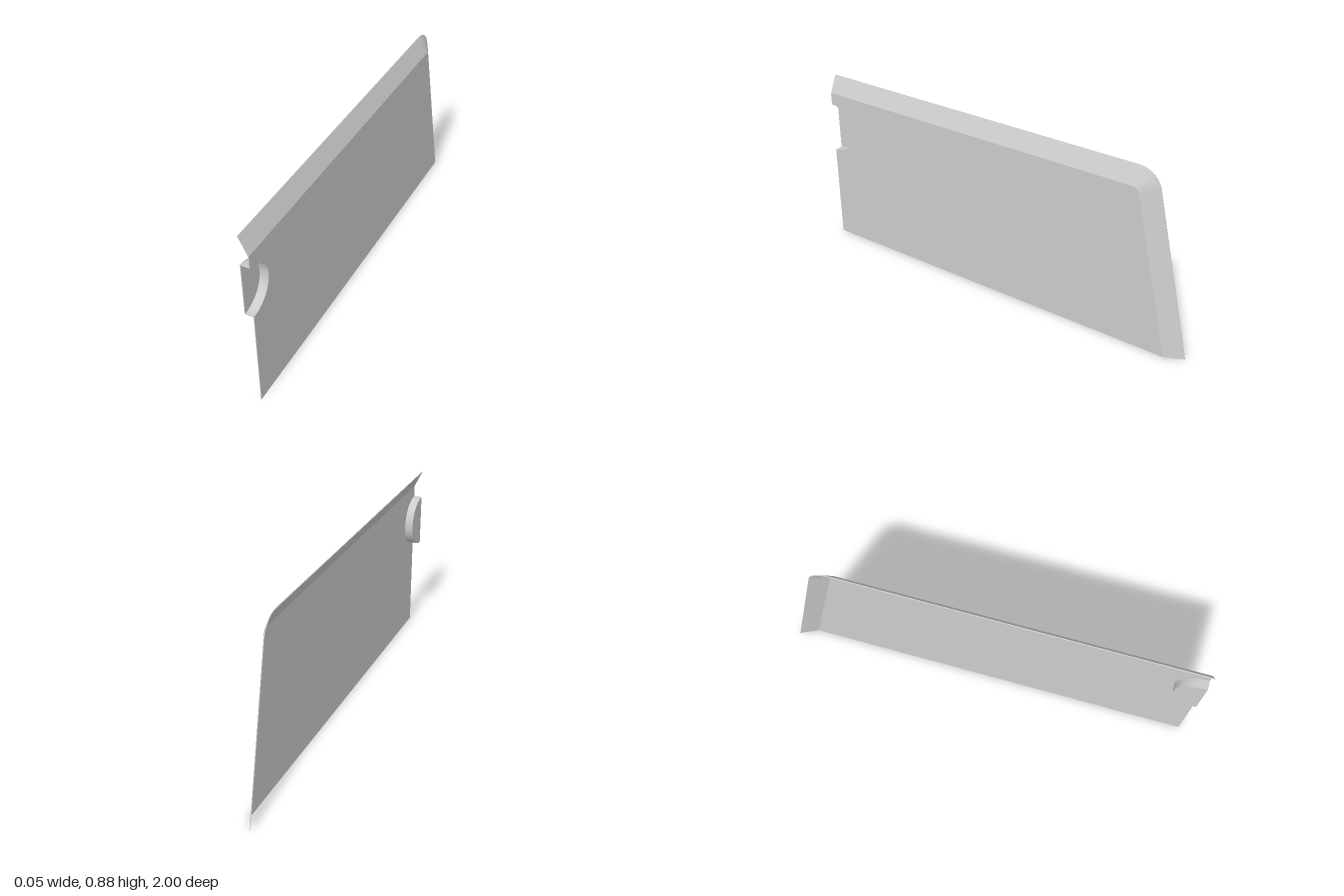
import * as THREE from 'three';
import { toCreasedNormals } from 'three/addons/utils/BufferGeometryUtils.js';

const material = new THREE.MeshStandardMaterial({ color: 0xcccccc });

// Side profile is drawn with u = -z and v = y
const FRONT = -1, CORNER_U = 0.701, CORNER_V = 0.77, SLOPE = 0.235;
const X_OUT = 0.022, X_IN = 0.018, X_BACK = -0.023;
const GRIP_V = 0.612, GRIP_R = 0.13, WALL = 0.004;

// Rear edge, rounded corner and top edge at distance r from the corner centre
function rim(r) {
  const points = [[CORNER_U + r * Math.hypot(1, SLOPE) + SLOPE * CORNER_V, 0]];
  const start = Math.atan(SLOPE), steps = 10;
  for (let i = 0; i <= steps; i++) {
    const a = start + (Math.PI / 2 - start) * i / steps;
    points.push([CORNER_U + r * Math.cos(a), CORNER_V + r * Math.sin(a)]);
  }
  points.push([FRONT, CORNER_V + r]);
  return points;
}

// Extrude a side profile between two x positions
function plate(name, shape, x0, x1) {
  const geometry = new THREE.ExtrudeGeometry(shape, { depth: x1 - x0, bevelEnabled: false, curveSegments: 16 });
  geometry.rotateY(Math.PI / 2).translate(x0, 0, 0);
  const mesh = new THREE.Mesh(geometry, material);
  mesh.name = name;
  return mesh;
}

// Sloped flange: a thin four-point section swept along the rim
function flange() {
  const section = [[0.03, X_OUT], [0.115, -0.0195], [0.1135, X_BACK], [0.029, X_IN]];
  const rails = section.map(([r, x]) => rim(r).map(([u, v]) => [x, v, -u]));
  const positions = [];
  const quad = (a, b, c, d) => positions.push(...a, ...b, ...c, ...a, ...c, ...d);
  const last = rails[0].length - 1;
  for (let k = 0; k < 4; k++) {
    const a = rails[k], b = rails[(k + 1) % 4];
    for (let i = 0; i < last; i++) quad(a[i], b[i], b[i + 1], a[i + 1]);
  }
  quad(...rails.map((rail) => rail[last]));
  quad(...rails.map((rail) => rail[0]).reverse());
  const geometry = new THREE.BufferGeometry();
  geometry.setAttribute('position', new THREE.Float32BufferAttribute(positions, 3));
  const mesh = new THREE.Mesh(toCreasedNormals(geometry, 0.5), material);
  mesh.name = 'flange';
  return mesh;
}

export function createModel() {
  const group = new THREE.Group();
  group.name = 'sidePanel';
  const up = Math.PI / 2;

  // Flat panel with a half-round notch in the front edge
  const panel = new THREE.Shape();
  panel.moveTo(FRONT, 0);
  rim(0.03).forEach(([u, v]) => panel.lineTo(u, v));
  panel.lineTo(FRONT, GRIP_V + GRIP_R);
  panel.absarc(FRONT, GRIP_V, GRIP_R, up, -up, true);
  panel.closePath();

  // Half-round wall of the recess
  const wall = new THREE.Shape();
  wall.absarc(FRONT, GRIP_V, GRIP_R, -up, up, false);
  wall.absarc(FRONT, GRIP_V, GRIP_R - WALL, up, -up, true);
  wall.closePath();

  // Floor of the recess
  const floor = new THREE.Shape();
  floor.absarc(FRONT, GRIP_V, GRIP_R - WALL, -up, up, false);
  floor.closePath();

  group.add(
    plate('panel', panel, X_IN, X_OUT),
    flange(),
    plate('recessWall', wall, X_BACK, X_OUT),
    plate('recessFloor', floor, X_BACK, X_BACK + WALL),
  );
  return group;
}
